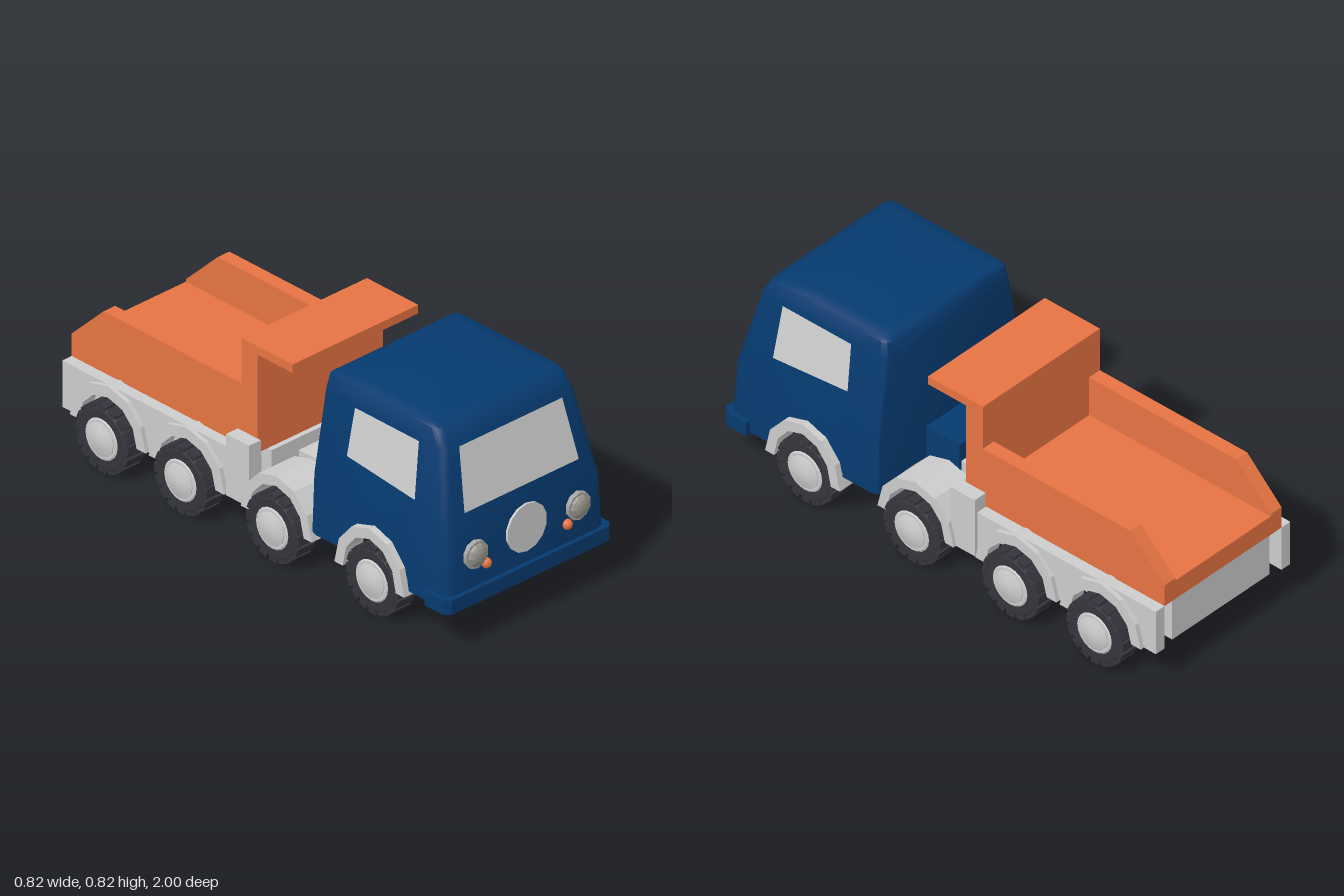
import * as THREE from 'three';
import { toCreasedNormals } from 'three/addons/utils/BufferGeometryUtils.js';

const mat = (name, color, side = THREE.FrontSide) => {
  const m = new THREE.MeshStandardMaterial({ color, side });
  m.name = name;
  return m;
};

export function createModel() {
  const truck = new THREE.Group();
  truck.name = 'dumpTruck';
  const blue = mat('cab blue', 0x063a6f, THREE.DoubleSide);
  const orange = mat('bed orange', 0xe67342);
  const grey = mat('frame grey', 0xcccccc);
  const glass = mat('window grey', 0xcecece, THREE.DoubleSide);
  const rubber = mat('tyre black', 0x34343c);
  const lampGrey = mat('lamp grey', 0x98948c);
  const rimGrey = mat('lamp rim grey', 0xa6a6a4);

  const add = (name, geo, material, x = 0, y = 0, z = 0, parent = truck) => {
    const m = new THREE.Mesh(geo, material);
    m.name = name;
    m.position.set(x, y, z);
    parent.add(m);
    return m;
  };
  // box given by its limits
  const box = (name, material, x0, x1, y0, y1, z0, z1) =>
    add(name, new THREE.BoxGeometry(x1 - x0, y1 - y0, z1 - z0), material,
      (x0 + x1) / 2, (y0 + y1) / 2, (z0 + z1) / 2);
  // side profile of [z, y] points, extruded from x0 to x1
  const sideExtrude = (pts, x0, x1) => {
    const shape = new THREE.Shape(pts.map(([z, y]) => new THREE.Vector2(-z, y)));
    return new THREE.ExtrudeGeometry(shape, { depth: x1 - x0, bevelEnabled: false })
      .rotateY(Math.PI / 2).translate(x0, 0, 0);
  };
  // the same profile on both sides
  const pair = (name, pts, x0, x1, material) => {
    add(name + 'Left', sideExtrude(pts, x0, x1), material);
    add(name + 'Right', sideExtrude(pts, -x1, -x0), material);
  };
  const AXLE_Y = 0.136;
  const ARCH_Y = 0.146;
  const arc = (cz, rz, top, n = 6) => Array.from({ length: n + 1 }, (_, i) => {
    const a = Math.PI * i / n;
    return [cz + rz * Math.cos(a), ARCH_Y + (top - ARCH_Y) * Math.sin(a)];
  });
  const archBand = (cz, rz, top, t) => [...arc(cz, rz, top), ...arc(cz, rz - t, top - t).reverse()];

  // Cab shell: levels of [y, half width, front z, back z]
  const levels = [
    [0.16, 0.378, 0.97, 0.27], [0.42, 0.37, 0.955, 0.272], [0.74, 0.319, 0.88, 0.28],
    [0.803, 0.309, 0.842, 0.29], [0.814, 0.298, 0.81, 0.305], [0.82, 0.25, 0.77, 0.33],
    [0.821, 0, 0.55, 0.55],
  ];
  // half outline of [u, v, bottom y], front centre to back centre, with the wheel opening
  const opening = [[0.765, 0.16], [0.765, 0.2], [0.75, 0.24], [0.7, 0.3], [0.65, 0.318],
    [0.55, 0.318], [0.5, 0.3], [0.45, 0.24], [0.435, 0.2], [0.435, 0.19]]
    .map(([z, y]) => [1, (z - 0.27) / 0.7, y]);
  const half = [[0, 1, 0.16], [0.9, 1, 0.16], [0.97, 0.985, 0.16], [1, 0.95, 0.16], ...opening,
    [1, 0.05, 0.19], [0.975, 0.012, 0.19], [0.92, 0, 0.19], [0, 0, 0.19]];
  const ring = [...half, ...half.slice(1, -1).reverse().map(([u, v, y]) => [-u, v, y])];
  const pos = [], idx = [], n = ring.length;
  levels.forEach(([y, w, f, b], j) => ring.forEach(([u, v, bottom], i) => {
    pos.push(u * w, j ? y : bottom, b + (f - b) * v);
    if (j < levels.length - 1) {
      const a = j * n + i, c = j * n + (i + 1) % n;
      idx.push(a, c, c + n, a, c + n, a + n);
    }
  }));
  // underside, running across from side to side
  for (let i = 0; i < half.length - 1; i++) {
    const a = (n - i) % n, b = n - i - 1;
    idx.push(i, a, b, i, b, i + 1);
  }
  const shell = new THREE.BufferGeometry();
  shell.setAttribute('position', new THREE.Float32BufferAttribute(pos, 3));
  shell.setIndex(idx);
  add('cab', toCreasedNormals(shell, 0.8), blue);

  // Windows lie just off the sloping cab walls
  const at = (y, k) => {
    const [p, q] = [levels[1], levels[2]];
    return p[k] + (q[k] - p[k]) * (y - p[0]) / (q[0] - p[0]);
  };
  const pane = (name, corners) => {
    const g = new THREE.BufferGeometry();
    g.setAttribute('position', new THREE.Float32BufferAttribute(corners.flat(), 3));
    g.setIndex([0, 1, 2, 0, 2, 3]);
    g.computeVertexNormals();
    add(name, g, glass);
  };
  pane('windshield', [[-0.273, 0.5], [0.273, 0.5], [0.246, 0.733], [-0.246, 0.733]]
    .map(([x, y]) => [x, y, at(y, 2) + 0.004]));
  const sideWindow = [[0.78, 0.52], [0.435, 0.55], [0.445, 0.735], [0.765, 0.735]];
  pane('sideWindowLeft', sideWindow.map(([z, y]) => [at(y, 1) + 0.004, y, z]));
  pane('sideWindowRight', sideWindow.map(([z, y]) => [-at(y, 1) - 0.004, y, z]).reverse());

  // Bumper wrapping the front corners
  const bumperLine = [[-0.397, 0.87], [-0.397, 0.965], [-0.375, 0.985], [0.375, 0.985],
    [0.397, 0.965], [0.397, 0.87], [0.365, 0.87], [0.365, 0.945], [-0.365, 0.945], [-0.365, 0.87]];
  const bumper = new THREE.ExtrudeGeometry(
    new THREE.Shape(bumperLine.map(([x, z]) => new THREE.Vector2(x, -z))),
    { depth: 0.057, bevelEnabled: false }).rotateX(-Math.PI / 2);
  add('bumper', bumper, blue, 0, 0.153, 0);

  // Round front plate, headlamps and turn signals
  add('frontPlate', new THREE.CylinderGeometry(0.095, 0.095, 0.009, 14).rotateX(Math.PI / 2),
    glass, 0, 0.347, 0.964);
  for (const s of [-1, 1]) {
    add('headlampRim', new THREE.CylinderGeometry(0.054, 0.054, 0.025, 10).rotateX(Math.PI / 2),
      rimGrey, s * 0.245, 0.337, 0.963);
    const dome = new THREE.SphereGeometry(0.045, 10, 4, 0, Math.PI * 2, 0, Math.PI / 2)
      .rotateX(Math.PI / 2).scale(1, 1, 0.56).toNonIndexed();
    dome.computeVertexNormals();
    add('headlamp', dome, lampGrey, s * 0.245, 0.337, 0.9745);
    add('turnSignal', new THREE.SphereGeometry(0.02, 10, 8), orange, s * 0.193, 0.282, 0.966);
  }

  // Coupling between cab and rear chassis
  box('couplingBox', blue, -0.13, 0.13, 0.19, 0.355, 0.115, 0.28);
  box('couplingBar', grey, -0.12, 0.12, 0.18, 0.28, -0.07, 0.12);

  // Chassis, with side skirts cut around the rear wheels
  const wheelZ = [0.6, 0.1, -0.36, -0.755];
  box('chassis', grey, -0.25, 0.25, 0.15, 0.33, -0.99, -0.05);
  const skirt = [[-0.05, 0.33], [-0.05, 0.145],
    ...arc(wheelZ[2], 0.145, 0.297), ...arc(wheelZ[3], 0.145, 0.297), [-1, 0.145], [-1, 0.33]];
  pair('sideSkirt', skirt, 0.3, 0.345, grey);
  pair('skirtBlock', [[-0.05, 0.145], [-0.05, 0.39], [-0.165, 0.39], [-0.165, 0.145]], 0.302, 0.358, grey);

  // Mudguards
  pair('frontMudguard', archBand(wheelZ[0], 0.175, 0.349, 0.042), 0.32, 0.404, grey);
  pair('middleMudguard', archBand(wheelZ[1], 0.178, 0.338, 0.04), 0.2, 0.372, grey);
  for (const z of wheelZ.slice(2)) pair('rearMudguard', archBand(z, 0.19, 0.336, 0.045), 0.3, 0.362, grey);

  // Tipping bed
  box('bedFloor', orange, -0.3, 0.3, 0.33, 0.41, -1, -0.07);
  pair('bedWall', [[-0.15, 0.33], [-0.15, 0.575], [-0.84, 0.575], [-1, 0.42], [-1, 0.33]],
    0.245, 0.3, orange);
  box('bedFrontWall', orange, -0.3, 0.3, 0.33, 0.757, -0.15, -0.07);
  box('bedCanopy', orange, -0.3, 0.3, 0.723, 0.757, -0.15, 0.107);

  // Wheels and axles
  const lathe = (pts, seg, crease) => toCreasedNormals(
    new THREE.LatheGeometry(pts.map(([r, h]) => new THREE.Vector2(r, h)), seg), crease)
    .rotateZ(Math.PI / 2);
  const tyreGeo = lathe([[0.08, -0.043], [0.114, -0.043], [0.126, -0.036], [0.126, 0.036],
    [0.114, 0.043], [0.08, 0.043]], 16, 0.2);
  const rimGeo = lathe([[0, -0.047], [0.075, -0.047], [0.084, -0.041], [0.084, 0.041],
    [0.075, 0.047], [0, 0.047]], 20, 0.5);
  const hubGeo = lathe([[0, -0.064], [0.03, -0.062], [0.066, -0.05], [0.066, 0.05],
    [0.03, 0.062], [0, 0.064]], 12, 0.5);
  const lugGeo = new THREE.BoxGeometry(0.084, 0.016, 0.036);
  wheelZ.forEach((z, k) => {
    add('axle', new THREE.CylinderGeometry(0.017, 0.017, 0.6, 10).rotateZ(Math.PI / 2),
      k ? grey : blue, 0, 0.128, z);
    for (const s of [-1, 1]) {
      const wheel = new THREE.Group();
      wheel.name = 'wheel';
      wheel.position.set(s * 0.348, AXLE_Y, z);
      add('tyre', tyreGeo, rubber, 0, 0, 0, wheel);
      add('rim', rimGeo, grey, 0, 0, 0, wheel);
      add('hub', hubGeo, grey, 0, 0, 0, wheel);
      for (let i = 0; i < 16; i++) {
        const a = i * Math.PI / 8;
        add('treadLug', lugGeo, rubber, 0, 0.124 * Math.cos(a), 0.124 * Math.sin(a), wheel).rotation.x = a;
      }
      truck.add(wheel);
    }
  });
  return truck;
}
